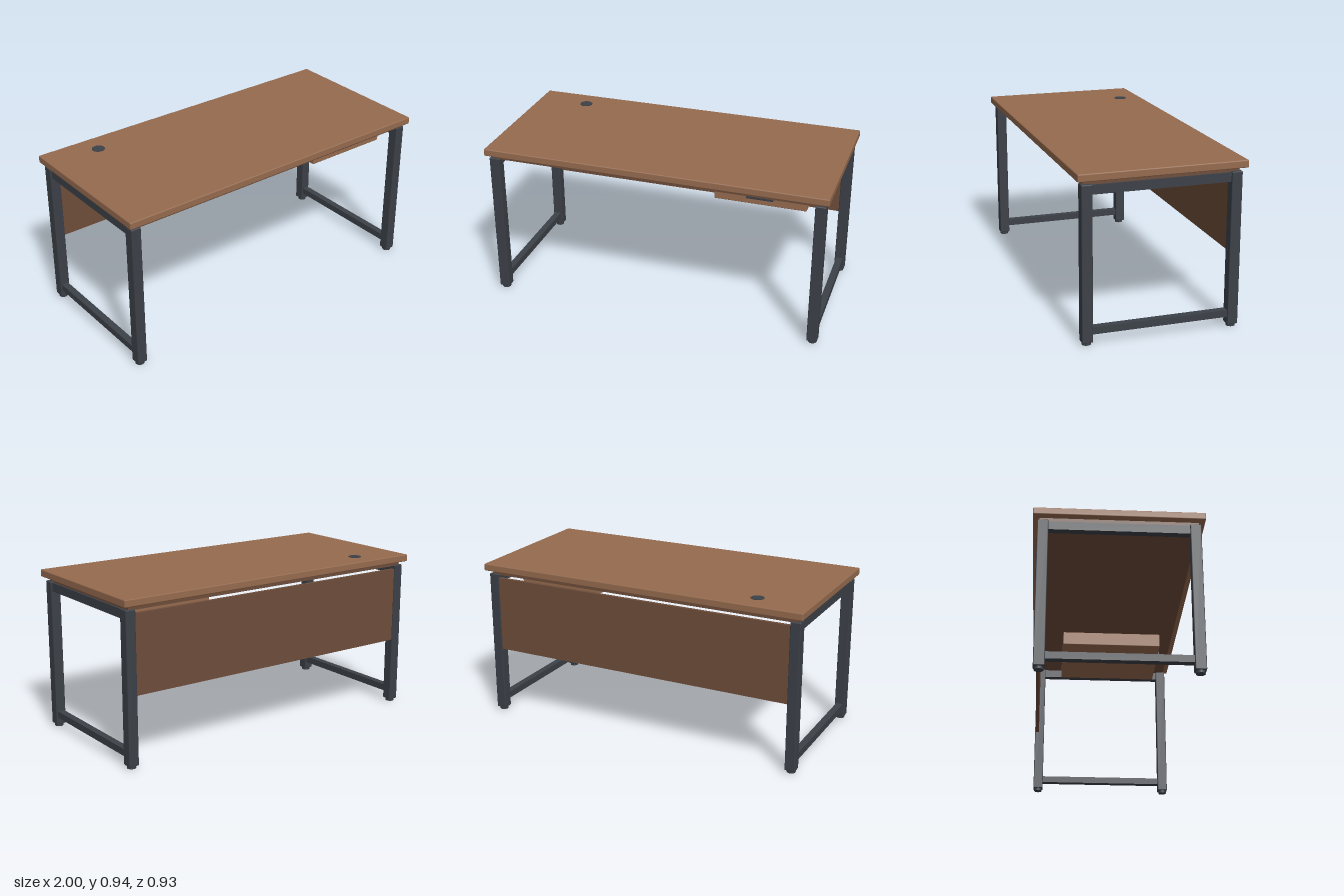
import * as THREE from 'three';
import { RoundedBoxGeometry } from 'three/addons/geometries/RoundedBoxGeometry.js';

const wood = new THREE.MeshStandardMaterial({ name: 'wood', color: 0x966b4f });
const darkWood = new THREE.MeshStandardMaterial({ name: 'dark wood', color: 0x6e4d3a });
const metal = new THREE.MeshStandardMaterial({ name: 'dark metal', color: 0x3c4148 });

// Box given by its [min, max] on each axis, with optional softened edges
function block(name, material, [x0, x1], [y0, y1], [z0, z1], radius = 0) {
  const size = [x1 - x0, y1 - y0, z1 - z0];
  const geometry = radius
    ? new RoundedBoxGeometry(...size, 1, radius)
    : new THREE.BoxGeometry(...size);
  const mesh = new THREE.Mesh(geometry, material);
  mesh.name = name;
  mesh.position.set((x0 + x1) / 2, (y0 + y1) / 2, (z0 + z1) / 2);
  return mesh;
}

function disc(name, radius, height, sides, x, y, z) {
  const mesh = new THREE.Mesh(new THREE.CylinderGeometry(radius, radius, height, sides), metal);
  mesh.name = name;
  mesh.position.set(x, y + height / 2, z);
  return mesh;
}

// One end of the frame: two legs with feet, joined by two rails
function endFrame(name, x) {
  const frame = new THREE.Group();
  frame.name = name;
  for (const z of [0.411, -0.411]) {
    frame.add(
      block('leg', metal, [x - 0.03, x + 0.03], [0.015, 0.875], [z - 0.03, z + 0.03], 0.005),
      disc('foot', 0.025, 0.018, 16, x, 0, z)
    );
  }
  frame.add(
    block('upperRail', metal, [x - 0.02, x + 0.02], [0.82, 0.87], [-0.385, 0.385]),
    block('lowerRail', metal, [x - 0.02, x + 0.02], [0.057, 0.097], [-0.385, 0.385])
  );
  return frame;
}

export function createModel() {
  const desk = new THREE.Group();
  desk.name = 'desk';

  // Top board on its darker backing board, with a cable cover
  desk.add(
    block('tabletop', wood, [-1, 1], [0.896, 0.938], [-0.466, 0.466], 0.006),
    block('backingBoard', darkWood, [-0.96, 0.96], [0.87, 0.897], [-0.43, 0.43]),
    disc('cableCover', 0.037, 0.004, 20, -0.69, 0.937, -0.33)
  );

  // Frame ends
  desk.add(endFrame('leftEndFrame', 0.951), endFrame('rightEndFrame', -0.951));

  // Rear privacy panel
  desk.add(block('privacyPanel', darkWood, [-0.925, 0.925], [0.405, 0.852], [-0.435, -0.415]));

  // Hanging drawer and its handle
  const drawer = new THREE.Group();
  drawer.name = 'drawer';
  drawer.add(
    block('drawerBody', wood, [0.34, 0.86], [0.785, 0.871], [-0.272, 0.349], 0.004),
    block('drawerHandle', metal, [0.525, 0.675], [0.821, 0.837], [0.347, 0.363])
  );
  desk.add(drawer);

  return desk;
}
